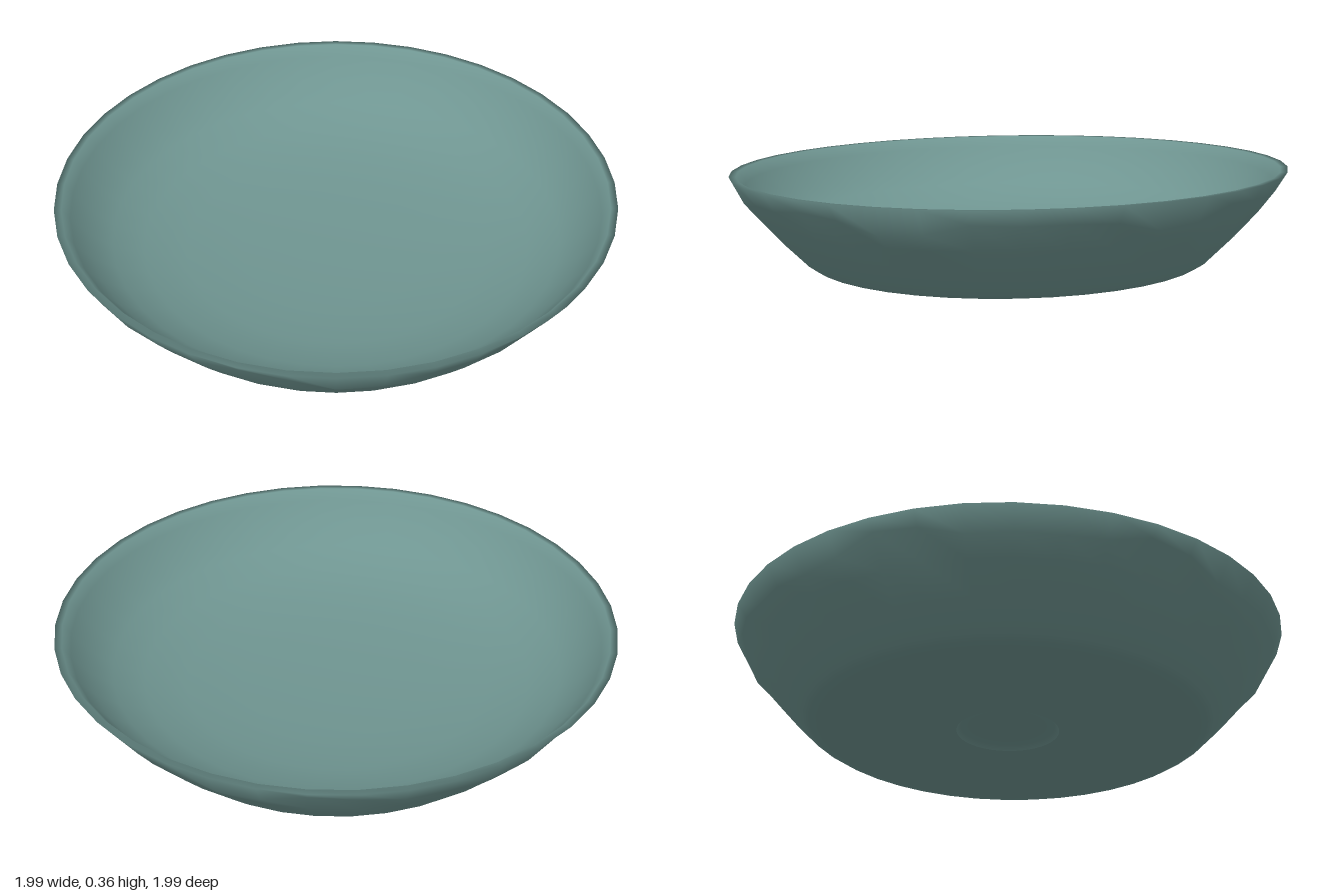
import * as THREE from 'three';
import { mergeVertices } from 'three/addons/utils/BufferGeometryUtils.js';

const SEGMENTS = 40;

// Slightly uneven, hand-made surface: the dish leans a little and its lip is wavy.
function shape(profile) {
  const lathe = new THREE.LatheGeometry(profile.map(([r, y]) => new THREE.Vector2(r, y)), SEGMENTS);
  lathe.deleteAttribute('uv');
  lathe.deleteAttribute('normal');
  const p = lathe.attributes.position;
  for (let i = 0; i < p.count; i++) {
    const x = p.getX(i), y = p.getY(i), z = p.getZ(i);
    const a = Math.atan2(z, x), r = Math.hypot(x, z);
    // only the ring just below the outer lip wanders up and down
    const wave = r > 0.95 && y < 0.32 && y > 0.25
      ? 0.022 * (Math.sin(7 * a) + 0.6 * Math.sin(13 * a + 1)) : 0;
    const s = 1 + wave * 0.35;
    p.setXYZ(i, x * s, y + wave - 0.008 * x - 0.011 * z, z * s);
  }
  const geometry = mergeVertices(lathe, 1e-4);
  geometry.computeVertexNormals();
  return geometry;
}

export function createModel() {
  const group = new THREE.Group();
  const glaze = new THREE.MeshStandardMaterial({ color: 0x6f9591 });
  glaze.name = 'grey teal glaze';

  const add = (name, profile) => {
    const mesh = new THREE.Mesh(shape(profile), glaze);
    mesh.name = name;
    group.add(mesh);
  };

  // Underside, flared wall, thin lip and rounded inside in one profile
  add('dish', [
    [0.185, 0.014], [0.45, 0.012], [0.66, 0.011], [0.71, 0.016], [0.74, 0.035],
    [0.82, 0.115], [0.9, 0.205], [0.957, 0.28], [0.997, 0.346],
    [0.972, 0.345], [0.945, 0.305], [0.89, 0.23], [0.81, 0.165], [0.7, 0.115],
    [0.55, 0.08], [0.35, 0.062], [0.15, 0.056], [0, 0.055],
  ]);

  // Shallow round recess in the middle of the underside
  add('baseRecess', [[0, 0.036], [0.12, 0.035], [0.17, 0.03], [0.185, 0.014]]);

  return group;
}
